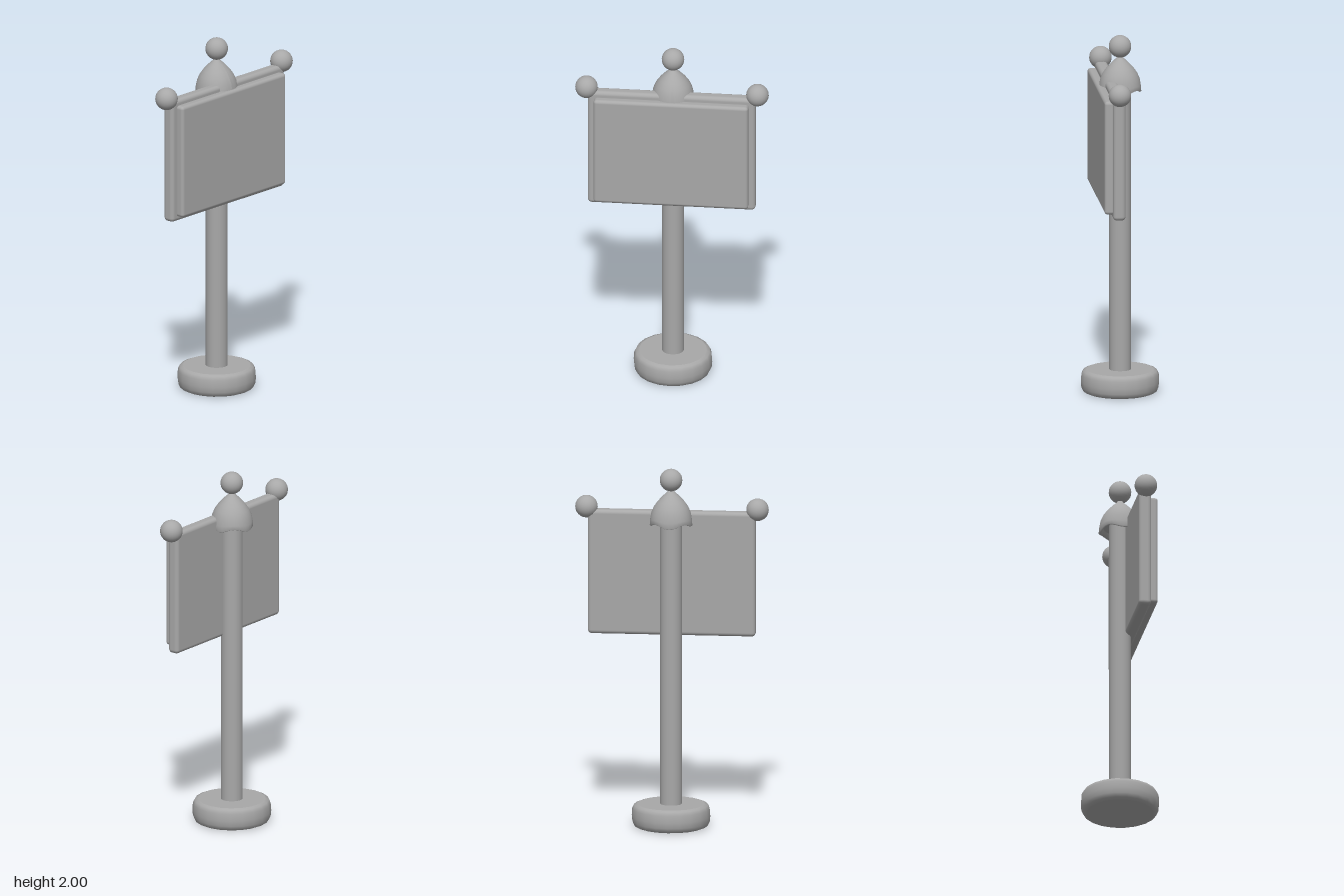
import * as THREE from 'three';
import { RoundedBoxGeometry } from 'three/addons/geometries/RoundedBoxGeometry.js';

export function createModel() {
  const root = new THREE.Group();
  root.name = 'signPost';
  const grey = new THREE.MeshStandardMaterial({ color: 0xa8a8a8, side: THREE.DoubleSide });
  grey.name = 'plain grey';

  const add = (name, geometry, x = 0, y = 0, z = 0) => {
    const mesh = new THREE.Mesh(geometry, grey);
    mesh.name = name;
    mesh.position.set(x, y, z);
    root.add(mesh);
    return mesh;
  };
  const lathe = (points, sides) =>
    new THREE.LatheGeometry(points.map(([r, y]) => new THREE.Vector2(r, y)), sides);

  // Round foot with softened rims
  add('base', lathe([
    [0, 0], [0.185, 0], [0.185, 0], [0.203, 0.008], [0.213, 0.03], [0.216, 0.06],
    [0.213, 0.1], [0.203, 0.12], [0.185, 0.127], [0.185, 0.127], [0, 0.127],
  ], 20));

  // Upright pole
  add('pole', new THREE.CylinderGeometry(0.06, 0.06, 1.65, 24), 0, 0.945, 0);

  // Two stacked panels
  add('backPanel', new RoundedBoxGeometry(0.922, 0.695, 0.068, 3, 0.022), 0, 1.41, 0.054);
  add('frontPanel', new RoundedBoxGeometry(0.85, 0.635, 0.056, 3, 0.018), 0, 1.408, 0.104);

  // Hollow bell cap: outer skin, thin lip, inner skin
  const cap = lathe([
    [0.09, 1.72], [0.1, 1.7], [0.109, 1.688], [0.117, 1.692], [0.115, 1.72], [0.108, 1.757],
    [0.094, 1.79], [0.073, 1.82], [0.045, 1.85], [0.02, 1.873], [0.012, 1.89], [0, 1.89],
  ], 32);
  // Gently scalloped lower rim
  const p = cap.attributes.position;
  for (let i = 0; i < p.count; i++) {
    const angle = Math.atan2(p.getX(i), p.getZ(i));
    const weight = THREE.MathUtils.clamp((1.74 - p.getY(i)) / 0.05, 0, 1);
    p.setY(i, p.getY(i) + weight * 0.01 * (0.3 - Math.cos(4 * angle)));
  }
  cap.computeVertexNormals();
  add('cap', cap);
  add('capUnderside', lathe([[0.055, 1.735], [0.09, 1.72]], 32));

  // Ball finials on the cap and the panel corners
  const ball = new THREE.SphereGeometry(0.062, 24, 16);
  add('topBall', ball, 0, 1.938, 0);
  for (const side of [-1, 1]) {
    add(side > 0 ? 'leftBall' : 'rightBall', ball, side * 0.47, 1.77, 0.054);
  }
  return root;
}
